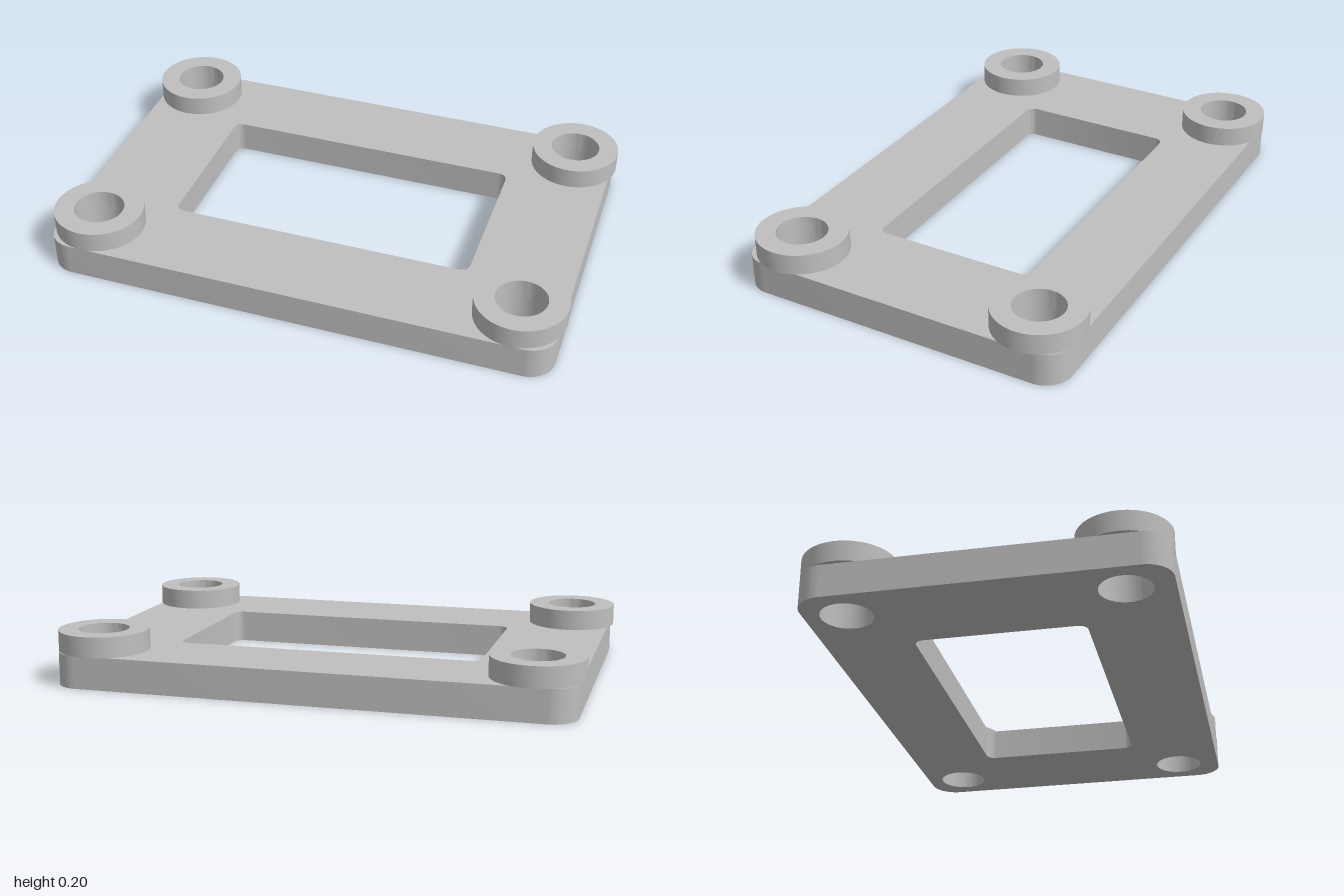
import * as THREE from 'three';
import { toCreasedNormals } from 'three/addons/utils/BufferGeometryUtils.js';

const PLATE_TOP = 0.126, BOSS_TOP = 0.205;
const BOSS_X = 0.828, BOSS_Z = 0.493, BOSS_R = 0.172, HOLE_R = 0.096;

// Rounded rectangle traced with corner arcs (shape y = -z of the model)
function roundedRect(path, x0, x1, y0, y1, r) {
  path.moveTo(x0 + r, y0);
  path.lineTo(x1 - r, y0);
  path.absarc(x1 - r, y0 + r, r, -Math.PI / 2, 0, false);
  path.lineTo(x1, y1 - r);
  path.absarc(x1 - r, y1 - r, r, 0, Math.PI / 2, false);
  path.lineTo(x0 + r, y1);
  path.absarc(x0 + r, y1 - r, r, Math.PI / 2, Math.PI, false);
  path.lineTo(x0, y0 + r);
  path.absarc(x0 + r, y0 + r, r, Math.PI, Math.PI * 1.5, false);
  return path;
}

function circle(path, x, y, r) {
  path.absarc(x, y, r, 0, Math.PI * 2, false);
  return path;
}

// Extrude a flat outline upward, keeping edges crisp and curved walls smooth
function extrudeUp(shape, height) {
  const geo = new THREE.ExtrudeGeometry(shape, { depth: height, bevelEnabled: false, curveSegments: 32 });
  geo.rotateX(-Math.PI / 2);
  return toCreasedNormals(geo, Math.PI / 6);
}

export function createModel() {
  const group = new THREE.Group();
  group.name = 'mountingPlate';
  const grey = new THREE.MeshStandardMaterial({ color: 0xbfbfbf });
  grey.name = 'grey';

  const corners = [];
  for (const sx of [-1, 1]) for (const sz of [-1, 1]) corners.push([sx * BOSS_X, sz * BOSS_Z]);

  // Base plate with central window and four bolt holes
  const outline = roundedRect(new THREE.Shape(), -0.983, 0.982, -0.664, 0.648, 0.1);
  outline.holes.push(roundedRect(new THREE.Path(), -0.592, 0.591, -0.319, 0.319, 0.035));
  for (const [x, z] of corners) outline.holes.push(circle(new THREE.Path(), x, -z, HOLE_R));
  const plate = new THREE.Mesh(extrudeUp(outline, PLATE_TOP), grey);
  plate.name = 'basePlate';
  group.add(plate);

  // Raised ring around each bolt hole
  const ring = circle(new THREE.Shape(), 0, 0, BOSS_R);
  ring.holes.push(circle(new THREE.Path(), 0, 0, HOLE_R));
  const ringGeo = extrudeUp(ring, BOSS_TOP - PLATE_TOP);
  for (const [x, z] of corners) {
    const boss = new THREE.Mesh(ringGeo, grey);
    boss.name = (z > 0 ? 'front' : 'back') + (x > 0 ? 'Left' : 'Right') + 'Boss';
    boss.position.set(x, PLATE_TOP, z);
    group.add(boss);
  }
  return group;
}
